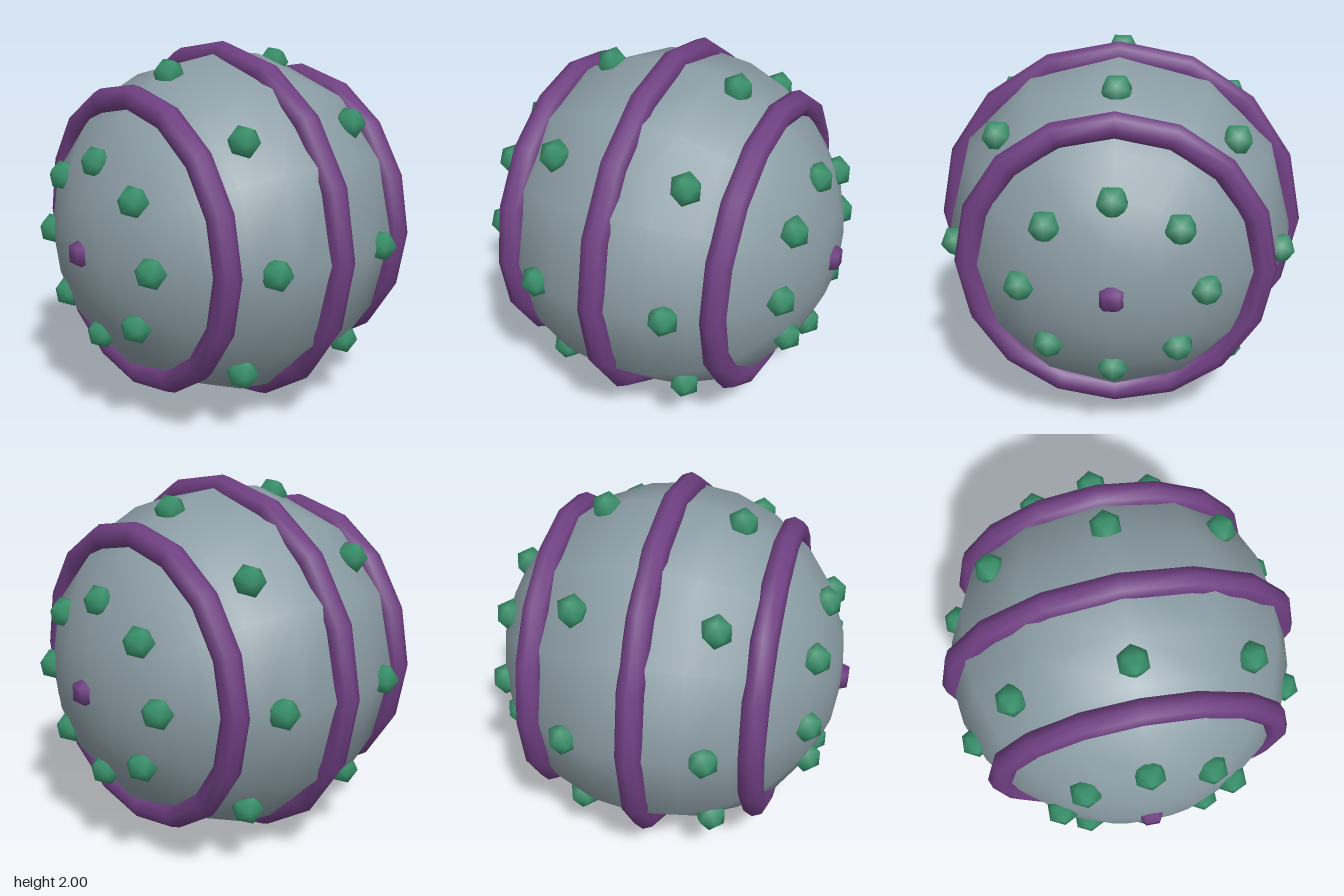
import * as THREE from 'three';
import { mergeVertices } from 'three/addons/utils/BufferGeometryUtils.js';

export function createModel() {
  const group = new THREE.Group();
  const mat = (color) => new THREE.MeshStandardMaterial({ color });
  const bodyMat = mat(0x8b9ca4), bandMat = mat(0x6f3f82), studMat = mat(0x38906a);

  const add = (name, geometry, material, x, y, z) => {
    const mesh = new THREE.Mesh(geometry, material);
    mesh.name = name;
    mesh.position.set(x, y + 1, z);
    group.add(mesh);
    return mesh;
  };

  // Ball with its poles facing front and back
  add('body', new THREE.SphereGeometry(0.945, 12, 12).rotateX(Math.PI / 2), bodyMat, 0, 0, 0);

  // Raised bands: one round the middle, one towards each pole
  const band = (name, radius, z) =>
    add(name, new THREE.TorusGeometry(radius, 0.07, 8, 16), bandMat, 0, 0, z);
  band('middleBand', 0.93, 0);

  // Low-poly stud with smooth normals
  const ico = new THREE.IcosahedronGeometry(0.087, 0);
  ico.deleteAttribute('normal');
  ico.deleteAttribute('uv');
  const studGeo = mergeVertices(ico);
  studGeo.computeVertexNormals();
  const capGeo = new THREE.SphereGeometry(0.085, 6, 3);

  for (const [side, s] of [['front', 1], ['back', -1]]) {
    band(side + 'Band', 0.757, 0.58 * s);
    add(side + 'PoleStud', capGeo, bandMat, 0, 0, 0.91 * s);

    // Two circles of eight studs on each half
    for (const [name, radius, z] of [['InnerStud', 0.46, 0.815], ['OuterStud', 0.858, 0.36]]) {
      for (let i = 0; i < 8; i++) {
        const a = (i * Math.PI) / 4;
        add(side + name, studGeo, studMat, radius * Math.cos(a), radius * Math.sin(a), z * s);
      }
    }
  }
  return group;
}
